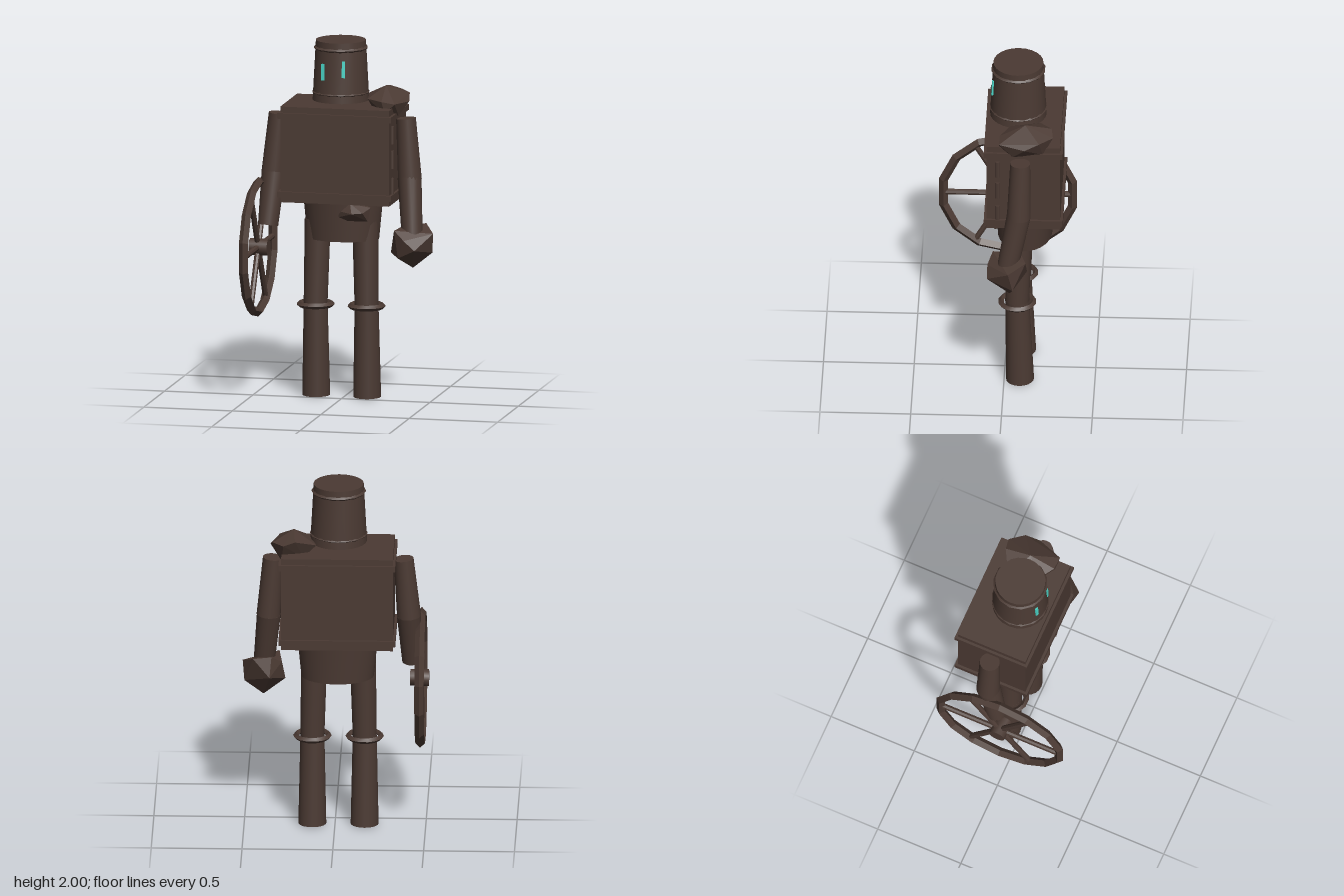
import * as THREE from 'three';
import { toCreasedNormals } from 'three/addons/utils/BufferGeometryUtils.js';
import { ConvexGeometry } from 'three/addons/geometries/ConvexGeometry.js';

export function createModel() {
  const model = new THREE.Group();
  const brown = new THREE.MeshStandardMaterial({ color: 0x4b3a33 });
  brown.name = 'darkBrown';
  const cyan = new THREE.MeshStandardMaterial({ color: 0x4ad6c8 });
  cyan.name = 'cyan';
  const V = (p) => new THREE.Vector3(...p);

  function add(name, geometry, position = [0, 0, 0], parent = model, material = brown, crease = 0.6) {
    const mesh = new THREE.Mesh(toCreasedNormals(geometry, crease), material);
    mesh.name = name;
    mesh.position.set(...position);
    parent.add(mesh);
    return mesh;
  }
  const group = (name, position = [0, 0, 0]) => {
    const g = new THREE.Group();
    g.name = name;
    g.position.set(...position);
    model.add(g);
    return g;
  };
  // Tapered cylinder running from point a to point b
  function limb(name, a, b, ra, rb, parent = model, sides = 20) {
    const from = V(a), to = V(b), dir = to.clone().sub(from);
    const mesh = add(name, new THREE.CylinderGeometry(rb, ra, dir.length(), sides),
      from.clone().add(to).multiplyScalar(0.5).toArray(), parent);
    mesh.quaternion.setFromUnitVectors(new THREE.Vector3(0, 1, 0), dir.normalize());
    return mesh;
  }
  // Horizontal band with a diamond section
  function ring(name, radius, tube, position, parent = model) {
    const g = new THREE.TorusGeometry(radius, tube, 4, 14);
    g.rotateX(Math.PI / 2);
    return add(name, g, position, parent);
  }
  // Faceted lump from a few corner points
  const rock = (name, points) => add(name, new ConvexGeometry(points.map(V)), undefined, model, brown, 0.02);

  // Crate torso with two rims
  const torso = group('torso', [-0.017, 0, -0.112]);
  add('crate', new THREE.BoxGeometry(0.615, 0.535, 0.405), [0, 1.3725, 0], torso);
  for (const [name, y] of [['upperRim', 1.59], ['lowerRim', 1.15]]) {
    add(name, new THREE.BoxGeometry(0.643, 0.032, 0.435), [0, y, 0], torso);
  }
  // Hinges on the left side
  for (const [y, h] of [[1.495, 0.1], [1.357, 0.1], [1.21, 0.09]]) {
    add('hinge', new THREE.CylinderGeometry(0.012, 0.012, h, 8), [0.309, y, 0.142], torso);
  }

  // Bucket head with bands and eye slits
  const head = group('head', [-0.02, 0, -0.073]);
  add('bucket', new THREE.CylinderGeometry(0.138, 0.156, 0.335, 24), [0, 1.8325, 0], head);
  ring('upperBand', 0.14, 0.011, [0, 1.957, 0], head);
  ring('lowerBand', 0.15, 0.01, [0, 1.71, 0], head);
  for (const [x, y] of [[-0.071, 1.836], [0.047, 1.856]]) {
    const r = 0.148, z = Math.sqrt(r * r - x * x);
    const eye = add('eye', new THREE.BoxGeometry(0.018, 0.092, 0.009), [x, y, z], head, cyan);
    eye.rotation.set(-0.05, Math.atan2(x, z) * 0.5, 0);
  }

  // Pelvis, oval in plan
  const pelvis = add('pelvis', new THREE.CylinderGeometry(0.222, 0.2, 0.225, 28), [-0.015, 0.9975, -0.11]);
  pelvis.scale.z = 0.75;

  // Legs with knee rings
  for (const [side, x, out] of [['left', 0.125, 1], ['right', -0.163, -1]]) {
    const leg = group(side + 'Leg');
    const knee = [x, 0.515, -0.072];
    limb('thigh', knee, [x - out * 0.01, 0.99, -0.082], 0.066, 0.072, leg);
    limb('shin', [x, 0.005, -0.088], [x, 0.53, -0.072], 0.077, 0.066, leg);
    ring('kneeRing', 0.09, 0.016, knee, leg);
  }

  // Arms
  const leftArm = group('leftArm');
  limb('upperArm', [0.342, 1.57, -0.097], [0.366, 1.23, -0.09], 0.055, 0.066, leftArm);
  limb('forearm', [0.364, 1.24, -0.09], [0.392, 0.93, -0.032], 0.066, 0.058, leftArm);
  const rightArm = group('rightArm');
  limb('upperArm', [-0.378, 1.57, -0.1], [-0.408, 1.23, -0.095], 0.055, 0.066, rightArm);
  limb('forearm', [-0.406, 1.24, -0.095], [-0.424, 0.95, -0.04], 0.066, 0.056, rightArm);

  // Stone shoulder, fist and hip lump
  rock('shoulderStone', [
    [0.1, 1.68, -0.2], [0.225, 1.745, -0.12], [0.215, 1.72, -0.265], [0.28, 1.7, -0.275],
    [0.34, 1.695, -0.2], [0.355, 1.66, -0.12], [0.305, 1.665, 0.022], [0.23, 1.675, 0.02],
    [0.14, 1.68, -0.035], [0.31, 1.59, -0.055], [0.29, 1.595, -0.22], [0.18, 1.6, -0.06],
    [0.25, 1.61, 0.02], [0.17, 1.61, -0.2],
  ]);
  rock('leftFist', [
    [0.31, 0.965, 0.055], [0.45, 0.98, -0.13], [0.51, 0.94, -0.035], [0.5, 0.83, -0.06],
    [0.395, 0.745, -0.04], [0.275, 0.83, -0.02], [0.295, 0.94, -0.06], [0.37, 0.915, 0.083],
    [0.43, 0.86, 0.083], [0.35, 0.98, -0.1], [0.36, 0.87, -0.135], [0.33, 0.81, 0.05],
  ]);
  rock('hipStone', [
    [-0.02, 1.022, 0.04], [0.01, 1.06, 0.06], [0.06, 1.105, 0.05], [0.175, 1.085, 0.04],
    [0.16, 1.01, 0.05], [0.04, 1.005, 0.04], [0.08, 1.055, 0.1], [0.14, 1.06, 0.09],
    [0.09, 1.1, -0.05], [0.1, 1.01, -0.04],
  ]);

  // Spoked wheel carried on the right
  const wheel = group('wheel', [-0.47, 0.833, 0.002]);
  const rim = new THREE.TorusGeometry(0.364, 0.026, 4, 14);
  rim.rotateZ(Math.PI / 2);
  rim.rotateY(Math.PI / 2);
  add('wheelRim', rim, [0, 0, 0], wheel, brown, 0.3);
  limb('hub', [-0.045, 0, 0], [0.058, 0, 0], 0.047, 0.047, wheel, 12);
  for (let i = 0; i < 6; i++) {
    const a = i * Math.PI / 3;
    limb('spoke', [0, 0, 0], [0, Math.sin(a) * 0.355, Math.cos(a) * 0.355], 0.016, 0.016, wheel, 8);
  }
  return model;
}
